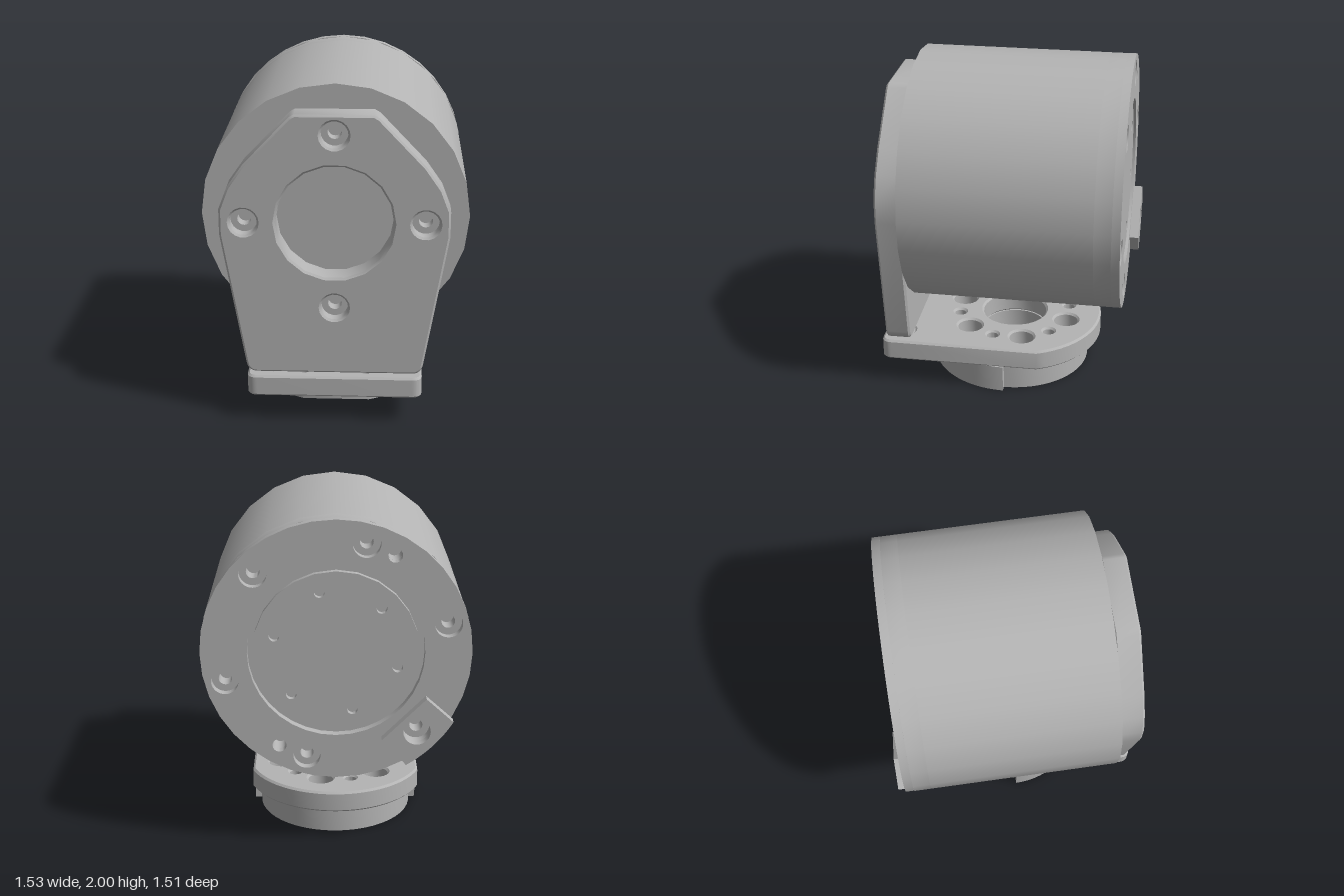
import * as THREE from 'three';
import { toCreasedNormals } from 'three/addons/utils/BufferGeometryUtils.js';

const AXIS_Y = 1.235, R = 0.765;

export function createModel() {
  const model = new THREE.Group();
  const metal = new THREE.MeshStandardMaterial({ color: 0xb4b4b4 });
  metal.name = 'grey metal';

  const add = (name, geometry, parent = model) => {
    const mesh = new THREE.Mesh(geometry, metal);
    mesh.name = name;
    parent.add(mesh);
    return mesh;
  };
  const polar = (r, deg) => [r * Math.cos(deg * Math.PI / 180), r * Math.sin(deg * Math.PI / 180)];
  const drill = (shape, x, y, r) => {
    shape.holes.push(new THREE.Path().absarc(x, y, r, 0, Math.PI * 2, true));
    return shape;
  };
  const disc = r => new THREE.Shape().absarc(0, 0, r, 0, Math.PI * 2, false);
  // Extruded slab from z0 to z1 with an optional chamfer
  const slab = (shape, z0, z1, bevel = 0, curveSegments = 12) => {
    const g = new THREE.ExtrudeGeometry(shape, {
      depth: z1 - z0 - 2 * bevel, curveSegments, bevelEnabled: bevel > 0,
      bevelSize: bevel, bevelThickness: bevel, bevelOffset: -bevel, bevelSegments: 1,
    });
    g.translate(0, 0, z0 + bevel);
    return toCreasedNormals(g, 0.6);
  };
  // Counterbore floor: a ring with a narrower bore
  const seat = (outer, inner, z0, z1) => slab(drill(disc(outer), 0, 0, inner), z0, z1, 0, 8);

  // Motor housing, axis along z
  const motor = new THREE.Group();
  motor.name = 'motor';
  motor.position.y = AXIS_Y;
  model.add(motor);

  const barrel = new THREE.CylinderGeometry(R, R, 1.115, 24);
  barrel.rotateX(Math.PI / 2);
  barrel.rotateZ(Math.PI / 2);
  barrel.translate(0, 0, 0.0075);
  add('housing', barrel, motor);

  const screwAngles = [45, 105, 165, 225, 285, 345];
  const endWall = disc(R), rearRing = drill(disc(R), 0, 0, 0.5);
  for (const a of screwAngles) {
    drill(endWall, ...polar(0.65, a), 0.038);
    drill(rearRing, ...polar(0.65, a), 0.078);
  }
  for (const a of [120, 300]) {
    drill(endWall, ...polar(0.65, a), 0.04);
    drill(rearRing, ...polar(0.65, a), 0.04);
  }
  add('rearWall', slab(endWall, -0.65, -0.55), motor);
  add('rearRing', slab(rearRing, -0.7, -0.65, 0, 18), motor);

  // Output disc with six tapped holes in the rear recess
  const output = disc(0.47);
  for (let a = 15; a < 360; a += 60) drill(output, ...polar(0.36, a), 0.03);
  add('outputDisc', slab(output, -0.685, -0.65), motor);

  // Raised pad over the lower rear screw
  const pad = new THREE.Shape();
  pad.moveTo(-0.26, -0.51);
  pad.lineTo(-0.51, -0.26);
  pad.lineTo(-0.665, -0.4);
  pad.absarc(0, 0, 0.776, Math.PI + 0.542, Math.PI * 1.5 - 0.542, false);
  drill(pad, ...polar(0.65, 225), 0.078);
  add('rearPad', slab(pad, -0.755, -0.7), motor);

  // Upright front plate
  const plate = new THREE.Shape();
  plate.moveTo(-0.45, 0.305);
  plate.lineTo(0.45, 0.305);
  plate.quadraticCurveTo(0.505, 0.305, 0.515, 0.365);
  for (const [x, y] of [[0.65, 1.16], [0.65, 1.31], [0.6, 1.44], [0.51, 1.57], [0.25, 1.845], [0.22, 1.862],
    [-0.22, 1.862], [-0.25, 1.845], [-0.51, 1.57], [-0.6, 1.44], [-0.65, 1.31], [-0.65, 1.16], [-0.515, 0.365]])
    plate.lineTo(x, y);
  plate.quadraticCurveTo(-0.505, 0.305, -0.45, 0.305);
  drill(plate, 0, AXIS_Y, 0.335);
  for (let a = 0; a < 360; a += 90) {
    const [x, y] = polar(0.513, a);
    drill(plate, x, y + AXIS_Y, 0.078);
    add('plateScrewSeat', seat(0.08, 0.04, 0.58, 0.65)).position.set(x, y + AXIS_Y, 0);
  }
  add('frontPlate', slab(plate, 0.572, 0.722, 0.012, 9));

  // Horizontal parts are drawn with shape y = -z, then laid flat
  const lay = g => g.rotateX(-Math.PI / 2);

  // Base flange: square front corners, round rear
  const flange = new THREE.Shape();
  flange.moveTo(-0.45, -0.755);
  flange.lineTo(0.45, -0.755);
  flange.quadraticCurveTo(0.51, -0.755, 0.51, -0.695);
  flange.absarc(0, 0, 0.55, 0.384, Math.PI - 0.384, false);
  flange.lineTo(-0.51, -0.695);
  flange.quadraticCurveTo(-0.51, -0.755, -0.45, -0.755);
  drill(flange, 0, 0, 0.2);

  // Round boss under the flange, stepped wider on its front half
  const boss = new THREE.Shape();
  boss.absarc(0, 0, 0.47, 0, Math.PI, false);
  boss.lineTo(-0.51, 0);
  boss.absarc(0, 0, 0.51, Math.PI, Math.PI + 1.172, false);
  boss.absarc(0, 0, 0.51, Math.PI * 2 - 1.172, Math.PI * 2, false);
  drill(boss, 0, 0, 0.2);

  // Bolt circle, alternating large and small bores
  for (let i = 0; i < 12; i++) {
    const [x, y] = polar(0.35, i * 30 + 15);
    drill(flange, x, y, i % 2 ? 0.035 : 0.075);
    drill(boss, x, y, i % 2 ? 0.03 : 0.05);
  }
  // Screws rising into the front plate
  for (const s of [-1, 1]) {
    drill(flange, s * 0.36, -0.64, 0.065);
    drill(flange, s * 0.18, -0.66, 0.03);
    add('flangeScrewSeat', lay(seat(0.067, 0.035, 0.22, 0.285))).position.set(s * 0.36, 0, 0.64);
  }
  add('baseFlange', lay(slab(flange, 0.165, 0.295, 0.012)));
  add('baseBoss', lay(slab(boss, 0, 0.166)));

  return model;
}
